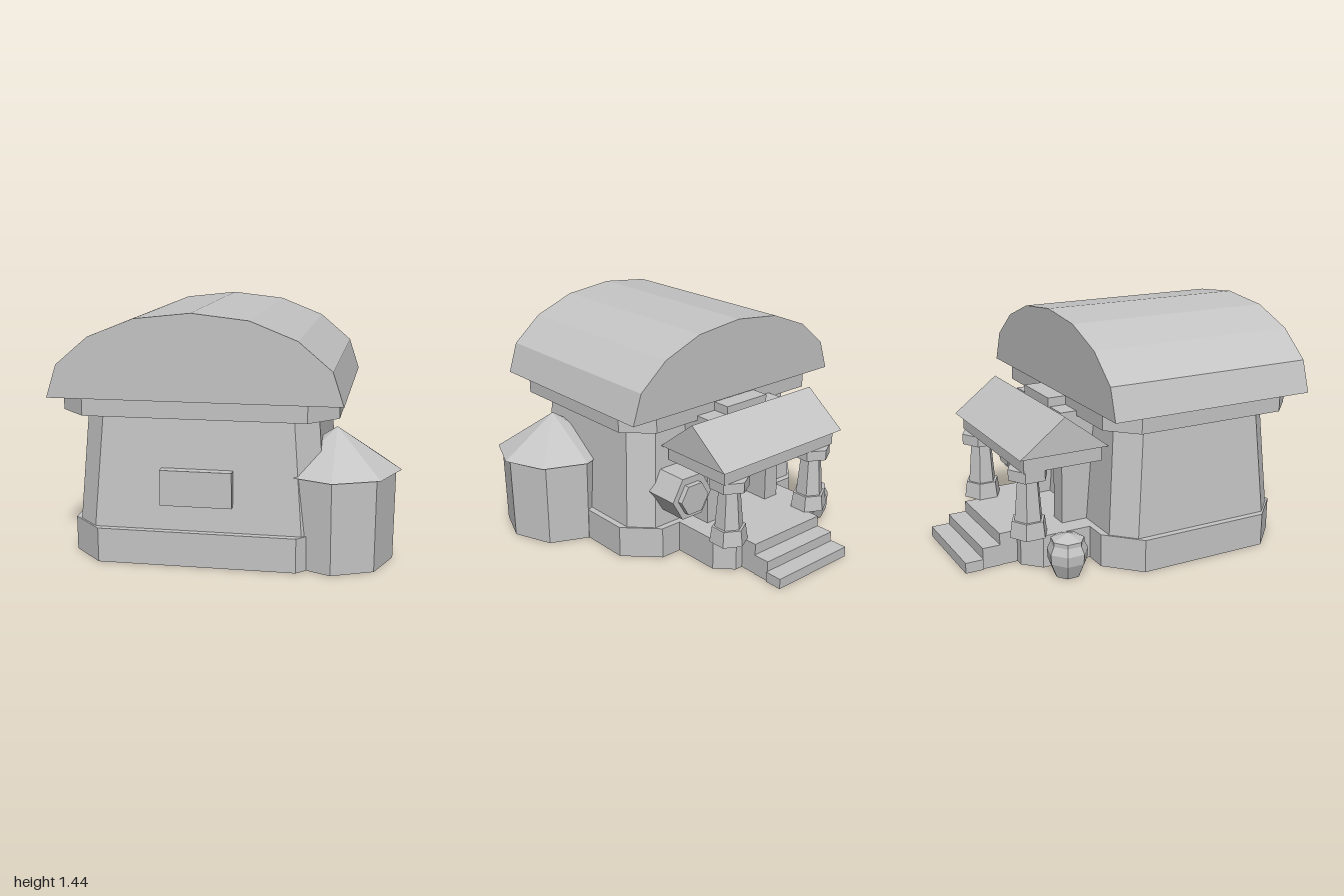
import * as THREE from 'three';

export function createModel() {
  const root = new THREE.Group();
  const stone = new THREE.MeshStandardMaterial({ color: 0xc4c4c4, flatShading: true, side: THREE.DoubleSide });
  stone.name = 'lightGrey';
  const CX = -0.156; // centre line of the house
  const CZ = 0.345;

  const add = (name, geo, x = 0, y = 0, z = 0, parent = root) => {
    const m = new THREE.Mesh(geo, stone);
    m.name = name;
    m.position.set(x, y, z);
    parent.add(m);
    return m;
  };

  // Removes the underside of a part that stands on the ground
  const openBelow = (geo) => {
    const flat = geo.index ? geo.toNonIndexed() : geo;
    flat.computeBoundingBox();
    const low = flat.boundingBox.min.y + 1e-4;
    const p = flat.attributes.position.array;
    const kept = [];
    for (let i = 0; i < p.length; i += 9) {
      if (Math.max(p[i + 1], p[i + 4], p[i + 7]) > low) kept.push(...p.slice(i, i + 9));
    }
    const out = new THREE.BufferGeometry();
    out.setAttribute('position', new THREE.Float32BufferAttribute(kept, 3));
    out.computeVertexNormals();
    return out;
  };

  // Box given by its limits
  const box = (name, x0, x1, y0, y1, z0, z1) => {
    const geo = new THREE.BoxGeometry(x1 - x0, y1 - y0, z1 - z0);
    return add(name, y0 === 0 ? openBelow(geo) : geo, (x0 + x1) / 2, (y0 + y1) / 2, (z0 + z1) / 2);
  };

  // Upright block with cut corners (c at the back, cf at the front); the top is drawn in by taper
  const chamferBlock = (name, hx, hz, c, y0, y1, taper, x, z, cf = c) => {
    const pts = [[hx, hz - c], [hx - c, hz], [c - hx, hz], [-hx, hz - c],
      [-hx, cf - hz], [cf - hx, -hz], [hx - cf, -hz], [hx, cf - hz]];
    const shape = new THREE.Shape(pts.map(([a, b]) => new THREE.Vector2(a, b)));
    const geo = new THREE.ExtrudeGeometry(shape, { depth: y1 - y0, bevelEnabled: false });
    geo.rotateX(-Math.PI / 2);
    const p = geo.attributes.position;
    for (let i = 0; i < p.count; i++) {
      if (p.getY(i) > 1e-4) {
        p.setX(i, p.getX(i) - Math.sign(p.getX(i)) * taper);
        p.setZ(i, p.getZ(i) - Math.sign(p.getZ(i)) * taper);
      }
    }
    geo.computeVertexNormals();
    return add(name, y0 === 0 ? openBelow(geo) : geo, x, y0, z);
  };

  // Main house
  chamferBlock('houseBase', 0.759, 0.605, 0.19, 0, 0.2, 0, CX, CZ);
  chamferBlock('houseWalls', 0.719, 0.565, 0.125, 0.2, 0.86, 0.05, CX, CZ);
  chamferBlock('eavesBand', 0.789, 0.632, 0.16, 0.86, 0.96, 0, CX, CZ);

  // Barrel roof
  const half = [[0.824, 0.96], [0.763, 1.147], [0.577, 1.305], [0.317, 1.408]];
  const arch = [...half, [0, 1.443], ...half.map(([x, y]) => [-x, y]).reverse()];
  const roofShape = new THREE.Shape(arch.map(([x, y]) => new THREE.Vector2(x, y)));
  add('barrelRoof', new THREE.ExtrudeGeometry(roofShape, { depth: 1.314, bevelEnabled: false }), CX, 0, -0.314);

  // Front panel
  box('frontPanel', -0.36, 0.05, 0.35, 0.555, 0.84, 0.94);

  // Round side tower
  const tower = new THREE.Group();
  tower.name = 'sideTower';
  tower.position.set(0.606, 0, 0.607);
  root.add(tower);
  const towerTurn = Math.PI / 2;
  const towerWall = new THREE.CylinderGeometry(0.36, 0.352, 0.53, 8, 1, true).rotateY(towerTurn);
  add('towerWall', towerWall.scale(0.94, 1, 1), 0, 0.265, 0, tower);
  add('towerRoof', new THREE.ConeGeometry(0.37, 0.24, 8).rotateY(towerTurn), 0, 0.65, 0, tower);

  // Porch floor and steps
  chamferBlock('porchFloor', 0.43, 0.206, 0.1, 0, 0.2, 0, CX, -0.461, 0.004);
  [[0.28, 0.2, -0.66, -0.778], [0.285, 0.13, -0.778, -0.888], [0.295, 0.065, -0.888, -1]].forEach(
    ([w, h, zNear, zFar], i) => box('step' + (i + 1), CX - w, CX + w, 0, h, zFar, zNear));

  // Six-sided porch columns: foot, shaft and capital
  const drum = (rTop, rBottom, h) => new THREE.CylinderGeometry(rTop, rBottom, h, 6);
  for (const side of [-1, 1]) {
    const column = new THREE.Group();
    column.name = side > 0 ? 'leftColumn' : 'rightColumn';
    column.position.set(CX + side * 0.358, 0, -0.627);
    root.add(column);
    add('columnFoot', drum(0.105, 0.119, 0.1), 0, 0.25, 0, column);
    add('columnShaft', drum(0.066, 0.088, 0.255), 0, 0.4275, 0, column);
    add('columnCapital', drum(0.123, 0.123, 0.065), 0, 0.5875, 0, column);
  }

  // Porch beam and gabled roof
  box('porchBeam', CX - 0.47, CX + 0.47, 0.62, 0.72, -0.7, -0.205);
  const gable = new THREE.Shape([[-0.28, 0], [0.28, 0], [0, 0.215]].map(([x, y]) => new THREE.Vector2(x, y)));
  const gableGeo = new THREE.ExtrudeGeometry(gable, { depth: 1.014, bevelEnabled: false });
  gableGeo.translate(0, 0, -0.507).rotateY(Math.PI / 2);
  add('porchRoof', gableGeo, CX, 0.715, -0.458);

  // Door frame with keystone
  for (const side of [-1, 1]) {
    const x = CX + side * 0.255;
    box('doorJamb', x - 0.055, x + 0.055, 0.2, 0.75, -0.385, -0.15);
  }
  box('doorLintel', CX - 0.31, CX + 0.31, 0.73, 0.89, -0.39, -0.13);
  box('keystone', CX - 0.167, CX + 0.167, 0.75, 0.945, -0.402, -0.13);

  // Six-sided window beside the door: frame and pane
  const hexPlate = (r, depth) =>
    new THREE.CylinderGeometry(r, r, depth, 6).rotateY(Math.PI / 2).rotateX(Math.PI / 2);
  add('windowFrame', hexPlate(0.154, 0.25), 0.293, 0.436, -0.275);
  add('windowPane', hexPlate(0.107, 0.06), 0.3, 0.434, -0.404);

  // Seven-sided pot with a low lid
  const pot = [[0.08, 0], [0.118, 0.09], [0.122, 0.15], [0.1, 0.195], [0.1, 0.22], [0, 0.255]];
  const potGeo = new THREE.LatheGeometry(pot.map(([r, y]) => new THREE.Vector2(r, y)), 7).rotateY(Math.PI / 2);
  add('pot', potGeo, -0.715, 0, -0.474);

  return root;
}
